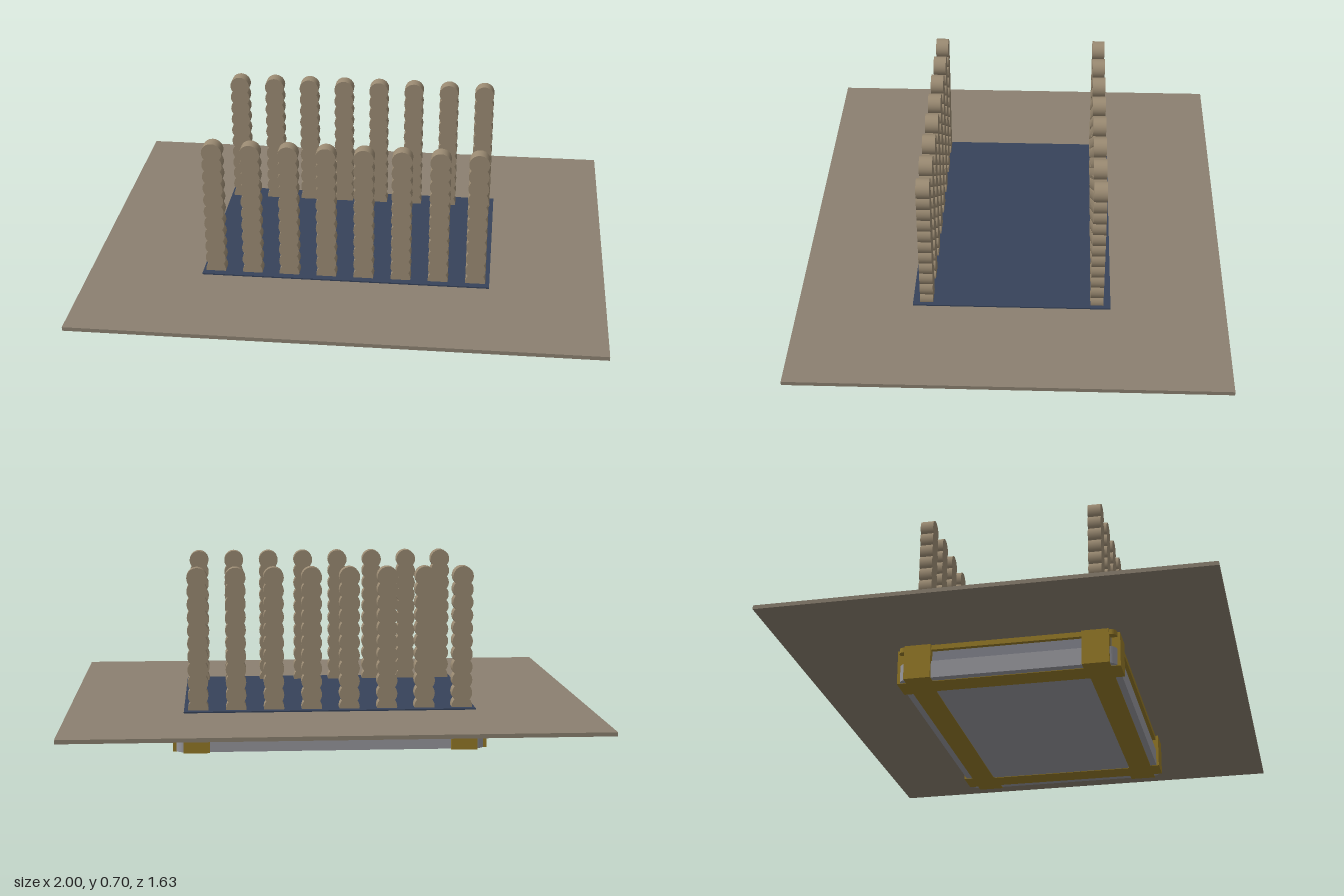
import * as THREE from 'three';

const mat = (color) => new THREE.MeshStandardMaterial({ color });
const tan = mat(0x8b8070), pinTan = mat(0x9a8a72), navy = mat(0x36425a);
const gold = mat(0x957a28), grey = mat(0x97979d), slate = mat(0x80828a);

function add(parent, name, geometry, material, x = 0, y = 0, z = 0) {
  const mesh = new THREE.Mesh(geometry, material);
  mesh.name = name;
  mesh.position.set(x, y, z);
  parent.add(mesh);
  return mesh;
}

// Box given by its half extents in x and z and its bottom and top heights
function slab(parent, name, hx, hz, y0, y1, material, x = 0, z = 0) {
  return add(parent, name, new THREE.BoxGeometry(hx * 2, y1 - y0, hz * 2), material, x, (y0 + y1) / 2, z);
}

function roundedRect(hx, hz, r) {
  const s = new THREE.Shape();
  s.moveTo(-hx + r, -hz);
  s.lineTo(hx - r, -hz);
  s.absarc(hx - r, -hz + r, r, -Math.PI / 2, 0);
  s.absarc(hx - r, hz - r, r, 0, Math.PI / 2);
  s.absarc(-hx + r, hz - r, r, Math.PI / 2, Math.PI);
  s.absarc(-hx + r, -hz + r, r, Math.PI, Math.PI * 1.5);
  return s;
}

// Flat shape extruded upwards from y0 to y1
function layer(parent, name, shape, y0, y1, material) {
  const g = new THREE.ExtrudeGeometry(shape, { depth: y1 - y0, bevelEnabled: false, curveSegments: 6 });
  g.rotateX(-Math.PI / 2);
  return add(parent, name, g, material, 0, y0, 0);
}

export function createModel() {
  const model = new THREE.Group();
  model.name = 'socketBoard';

  // Wide board with the dark pad on top
  slab(model, 'board', 1, 0.815, 0.132, 0.147, tan);
  slab(model, 'pad', 0.558, 0.377, 0.147, 0.152, navy);

  // Stepped body under the board
  layer(model, 'lowerBody', roundedRect(0.59, 0.405, 0.04), 0.002, 0.068, grey);
  layer(model, 'upperBody', roundedRect(0.573, 0.388, 0.03), 0.068, 0.113, slate);

  // Metal clip: top plate, bottom frame and two tabs at each corner
  const clip = new THREE.Group();
  clip.name = 'clip';
  model.add(clip);
  layer(clip, 'clipTop', roundedRect(0.59, 0.405, 0.02), 0.113, 0.132, gold);
  const frame = roundedRect(0.56, 0.38, 0.01);
  frame.holes.push(roundedRect(0.47, 0.29, 0.01));
  layer(clip, 'clipFrame', frame, 0, 0.01, gold);
  for (const sx of [-1, 1]) {
    for (const sz of [-1, 1]) {
      slab(clip, 'frontTab', 0.05, 0.02, 0, 0.132, gold, sx * 0.51, sz * 0.395);
      slab(clip, 'sideTab', 0.02, 0.05, 0, 0.132, gold, sx * 0.58, sz * 0.33);
    }
  }

  // Two rows of posts, each a stack of overlapping discs facing the front
  const disc = new THREE.CylinderGeometry(0.039, 0.039, 0.05, 24).rotateX(Math.PI / 2);
  for (const z of [-0.325, 0.325]) {
    for (let i = 0; i < 8; i++) {
      const post = new THREE.Group();
      post.name = 'post';
      post.position.set(-0.508 + i * 0.1445, 0, z);
      for (let k = 0; k < 11; k++) add(post, 'postDisc', disc, pinTan, 0, 0.658 - k * 0.05, 0);
      model.add(post);
    }
  }
  return model;
}
